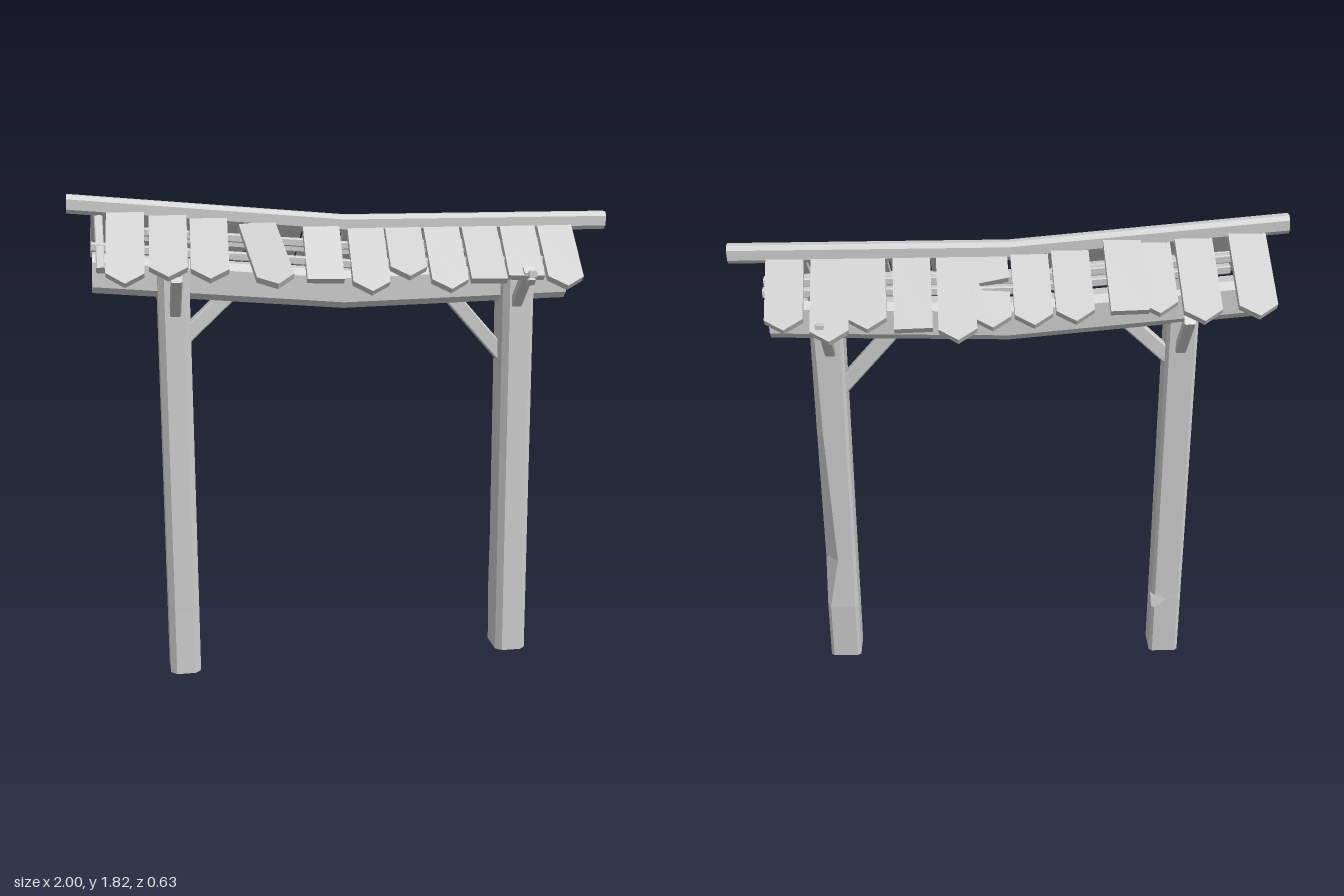
import * as THREE from 'three';

const V = (x, y, z) => new THREE.Vector3(x, y, z);
const material = new THREE.MeshStandardMaterial({ color: 0xcccccc, flatShading: true });

// height of the sagging ridge top
const ridgeTop = (x) => (x < 0 ? 1.73 - 0.09 * x : 1.73 - 0.005 * x);

// rectangle with a separate chamfer on each corner, counter-clockwise
function chamferRect(u0, u1, v0, v1, c) {
  return [
    [u1 - c[0], v0], [u1, v0 + c[0]], [u1, v1 - c[1]], [u1 - c[1], v1],
    [u0 + c[2], v1], [u0, v1 - c[2]], [u0, v0 + c[3]], [u0 + c[3], v0],
  ];
}

// closed flat-shaded skin over a row of equal-sized rings
function loft(rings) {
  const pos = [];
  const tri = (a, b, c) => [a, b, c].forEach((p) => pos.push(p.x, p.y, p.z));
  const n = rings[0].length;
  const last = rings[rings.length - 1];
  for (let k = 0; k < rings.length - 1; k++) {
    for (let i = 0; i < n; i++) {
      const j = (i + 1) % n, a = rings[k], b = rings[k + 1];
      tri(a[i], a[j], b[j]);
      tri(a[i], b[j], b[i]);
    }
  }
  for (let i = 1; i < n - 1; i++) {
    tri(rings[0][0], rings[0][i + 1], rings[0][i]);
    tri(last[0], last[i], last[i + 1]);
  }
  const g = new THREE.BufferGeometry();
  g.setAttribute('position', new THREE.Float32BufferAttribute(pos, 3));
  g.computeVertexNormals();
  return g;
}

// chamfered timber along a path of points
function timber(path, width, height, chamfer) {
  const t = path[path.length - 1].clone().sub(path[0]).normalize();
  const u = V(0, 1, 0).cross(t).normalize();
  const v = t.clone().cross(u);
  const ring = chamferRect(-width / 2, width / 2, -height / 2, height / 2, Array(4).fill(chamfer));
  return loft(path.map((p) => ring.map(([a, b]) => p.clone().addScaledVector(u, a).addScaledVector(v, b))));
}

// leaning post; levels are [y, front z, back z, chamfer of the worn back corner]
function post(x0, x1, levels) {
  return loft(levels.map(([y, zf, zb, worn]) =>
    chamferRect(zb, zf, x0, x1, [0.022, 0.022, worn, 0.012]).map(([z, x]) => V(x, y, z))));
}

// roof board from its top centre down to its tip
function shingle(top, tip, side, { flat = false, broken = false } = {}) {
  const Y = top.clone().sub(tip);
  const L = Y.length(), w = 0.067, point = flat ? 0 : 0.045;
  Y.normalize();
  const Z = V(side, 0, 0).cross(Y).normalize();
  const X = Y.clone().cross(Z);
  const pts = [[-w, 0], [-w, point - L], [0, -L], [w, point - L]];
  if (broken) pts.push([w, -0.16], [-0.03, -0.15], [-0.04, -0.12], [w, -0.1]);
  pts.push([w, 0]);
  const shape = new THREE.Shape(pts.map(([a, b]) => new THREE.Vector2(a, b)));
  const g = new THREE.ExtrudeGeometry(shape, { depth: 0.025, bevelEnabled: false });
  g.translate(0, 0, -0.025);
  return g.applyMatrix4(new THREE.Matrix4().makeBasis(X, Y, Z).setPosition(top));
}

export function createModel() {
  const model = new THREE.Group();
  const add = (name, geometry, parent = model) => {
    const mesh = new THREE.Mesh(geometry, material);
    mesh.name = name;
    parent.add(mesh);
  };

  // posts, one notched and one worn along its back corner
  add('rightPost', post(-0.69, -0.575, [
    [0, 0.1, -0.04, 0.012], [0.21, 0.095, -0.045, 0.012], [0.25, 0.094, -0.046, 0.06],
    [0.27, 0.094, -0.046, 0.012], [1.62, 0.06, -0.085, 0.012]]));
  add('leftPost', post(0.6, 0.72, [
    [0, 0.1, -0.04, 0.012], [0.24, 0.094, -0.055, 0.012], [0.45, 0.088, -0.052, 0.05],
    [1.0, 0.075, -0.068, 0.025], [1.6, 0.06, -0.085, 0.012]]));

  // bent cross beam and ridge pole
  add('crossBeam', timber([V(-0.92, 1.535, -0.04), V(0, 1.452, -0.045), V(0.86, 1.468, -0.045)], 0.115, 0.14, 0.025));
  add('ridgePole', timber([-1, 0, 1].map((x) => V(x, ridgeTop(x) - 0.033, -0.004)), 0.062, 0.066, 0.015));

  // battens under the boards
  const batten = (x0, x1, z, drop) =>
    timber([x0, 0, x1].map((x) => V(x, ridgeTop(x) - drop, z)), 0.04, 0.03, 0.004);
  add('frontBatten', batten(-0.92, 0.86, 0.11, 0.165));
  add('backBatten', batten(-0.78, 0.87, -0.11, 0.145));
  add('upperBackBatten', batten(-0.8, 0.87, -0.065, 0.12));

  // rafters at the posts and the high end
  const rafters = new THREE.Group();
  rafters.name = 'rafters';
  model.add(rafters);
  for (const x of [-0.89, -0.63, 0.66]) {
    const y = ridgeTop(x) - 0.075;
    add('frontRafter', timber([V(x, y, 0.01), V(x, y - 0.16, 0.2)], 0.03, 0.03, 0.004), rafters);
    add('backRafter', timber([V(x, y, -0.01), V(x, y - 0.16, -0.23)], 0.03, 0.03, 0.004), rafters);
  }

  // braces from the posts to the eaves and to the beam
  for (const x of [-0.63, 0.65]) {
    add('frontBrace', timber([V(x, 1.38, 0.04), V(x, 1.54, 0.2)], 0.04, 0.035, 0.004));
    add('backBrace', timber([V(x, 1.33, -0.06), V(x, 1.51, -0.24)], 0.04, 0.035, 0.004));
  }
  add('eaveTie', timber([V(0.66, 1.525, 0.22), V(0.66, 1.505, -0.28)], 0.03, 0.025, 0.004));
  add('rightBeamBrace', timber([V(-0.6, 1.285, -0.03), V(-0.42, 1.45, -0.04)], 0.05, 0.055, 0.005));
  add('leftBeamBrace', timber([V(0.63, 1.17, -0.03), V(0.41, 1.42, -0.04)], 0.05, 0.055, 0.005));

  // front boards: [tip x, tip y, tip z, sideways shift of the top, flat end]
  const front = new THREE.Group();
  front.name = 'frontBoards';
  model.add(front);
  [
    [-0.81, 1.535, 0.25, 0.015], [-0.66, 1.555, 0.25, 0.015], [-0.515, 1.545, 0.25, 0.015],
    [-0.285, 1.53, 0.31, -0.04], [-0.1, 1.525, 0.2, 0.01, true], [0.06, 1.485, 0.25, 0.015],
    [0.205, 1.53, 0.21, 0.01], [0.35, 1.485, 0.25, 0.01], [0.495, 1.515, 0.23, 0.01, true],
    [0.64, 1.52, 0.21, 0.012, true], [0.785, 1.485, 0.25, 0.012],
  ].forEach(([x, y, z, shift, flat]) =>
    add('frontBoard', shingle(V(x + shift, ridgeTop(x) - 0.045, 0.025), V(x, y, z), 1, { flat }), front));

  // back boards: [tip x, tip z, flat end, broken]
  const back = new THREE.Group();
  back.name = 'backBoards';
  model.add(back);
  [
    [-0.86, -0.32], [-0.67, -0.32], [-0.52, -0.28], [-0.415, -0.28, true], [-0.23, -0.28],
    [-0.085, -0.28], [0.06, -0.28, false, true], [0.18, -0.32], [0.335, -0.28, true],
    [0.495, -0.28], [0.625, -0.32], [0.785, -0.28],
  ].forEach(([x, z, flat, broken], i) => {
    const lift = i === 3 ? 0.02 : 0;
    const y = ridgeTop(x) - 0.045 + lift;
    add('backBoard', shingle(V(x + 0.012, y, -0.03), V(x, y - 0.72 * (-z - 0.03), z), -1, { flat, broken }), back);
  });

  return model;
}
